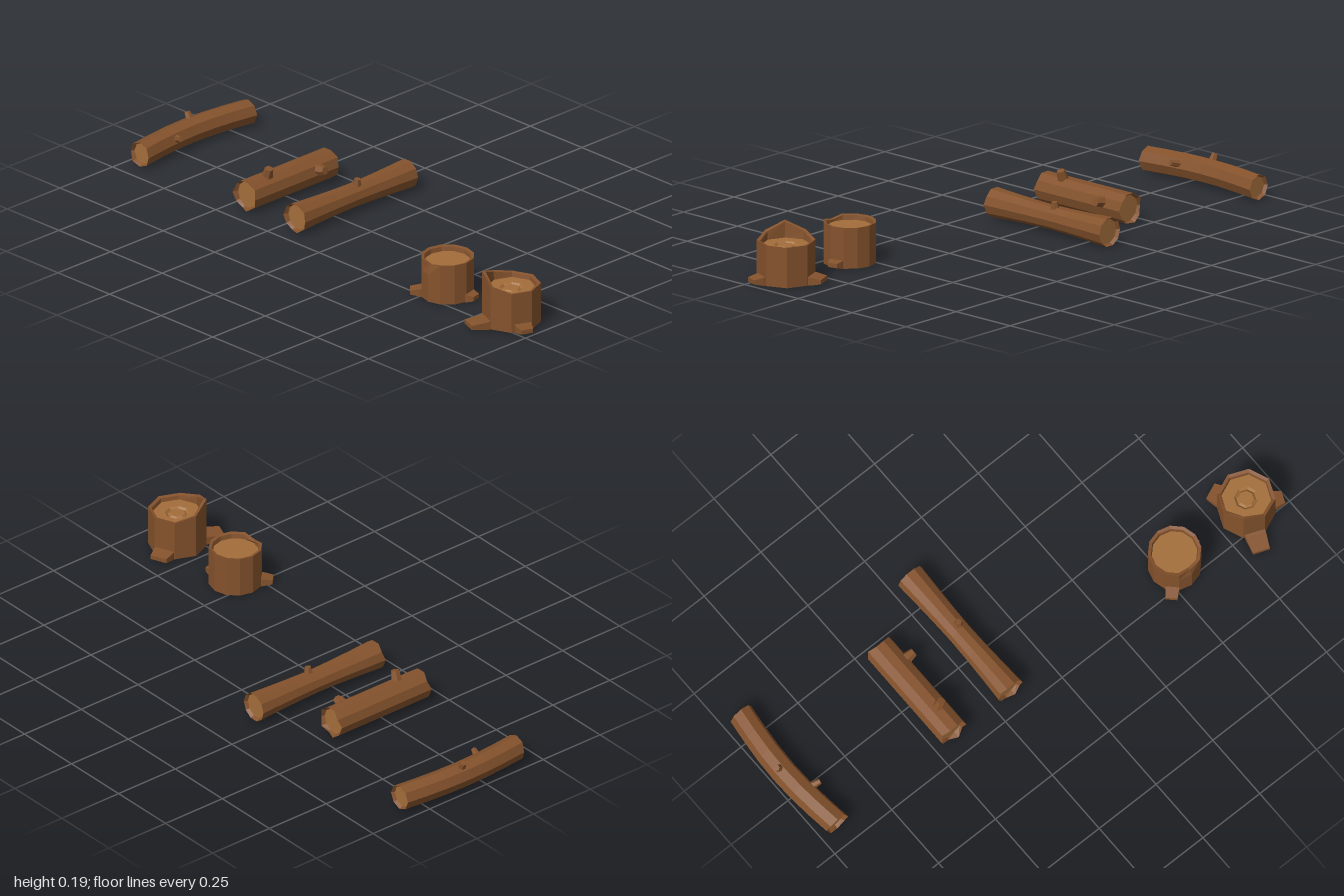
import * as THREE from 'three';

const bark = new THREE.MeshStandardMaterial({ color: 0x84522c, flatShading: true });
bark.name = 'bark';
const wood = new THREE.MeshStandardMaterial({ color: 0xa36e3a, flatShading: true });
wood.name = 'cutWood';

// Skin through rings of points; rings run counter-clockwise seen from the far end.
function loft(rings, capStart = false, capEnd = false) {
  const out = [];
  const tri = (...pts) => pts.forEach((p) => out.push(...p));
  const n = rings[0].length;
  for (let k = 0; k + 1 < rings.length; k++) {
    for (let i = 0; i < n; i++) {
      const j = (i + 1) % n;
      const [a, b, c, d] = [rings[k][i], rings[k][j], rings[k + 1][j], rings[k + 1][i]];
      tri(a, b, c);
      tri(a, c, d);
    }
  }
  const cap = (ring, flip) => {
    const mid = [0, 1, 2].map((q) => ring.reduce((s, p) => s + p[q], 0) / n);
    for (let i = 0; i < n; i++) {
      const j = (i + 1) % n;
      if (flip) tri(mid, ring[j], ring[i]);
      else tri(mid, ring[i], ring[j]);
    }
  };
  if (capStart) cap(rings[0], true);
  if (capEnd) cap(rings[rings.length - 1], false);
  const g = new THREE.BufferGeometry();
  g.setAttribute('position', new THREE.Float32BufferAttribute(out, 3));
  g.computeVertexNormals();
  return g;
}

function add(group, name, geometry, material) {
  const mesh = new THREE.Mesh(geometry, material);
  mesh.name = name;
  group.add(mesh);
  return mesh;
}

const circle = (n, f) => Array.from({ length: n }, (_, i) => f((i / n) * Math.PI * 2, i));
const ragged = (i) => Math.sin(i * 2.4 + 1) * 0.5 + Math.sin(i * 4.1) * 0.5;

// Log lying along z with sunken cut faces
function log(name, { z0, z1, sides, steps, centre, radius, ragBack = 0, ragFront = 0.006 }) {
  const group = new THREE.Group();
  group.name = name;
  const ring = (t, scale, dz, rag) => {
    const [x, y] = centre(t);
    const r = radius(t) * scale;
    return circle(sides, (a, i) => [
      x + Math.cos(a) * r, y + Math.sin(a) * r, z0 + (z1 - z0) * t + dz + ragged(i) * rag,
    ]);
  };
  const back = ring(0, 0.86, 0.012, 0);
  const front = ring(1, 0.86, -0.014, 0);
  const rings = [back];
  for (let k = 0; k <= steps; k++) {
    rings.push(ring(k / steps, 1, 0, k === 0 ? ragBack : k === steps ? ragFront : 0));
  }
  rings.push(front);
  add(group, 'logBark', loft(rings), bark);
  add(group, 'backCut', loft([back], true, false), wood);
  add(group, 'frontCut', loft([front], false, true), wood);
  return group;
}

// Broken branch stub from base to tip
function stub(group, base, tip, r0, r1) {
  const a = new THREE.Vector3(...base);
  const b = new THREE.Vector3(...tip);
  const dir = b.clone().sub(a);
  const mesh = add(group, 'branchStub', new THREE.CylinderGeometry(r1, r0, dir.length(), 6), bark);
  mesh.position.copy(a).add(b).multiplyScalar(0.5);
  mesh.quaternion.setFromUnitVectors(new THREE.Vector3(0, 1, 0), dir.normalize());
}

// Upright stump with a rim around a sunken cut face
function stump(name, { x, z, r, sides, rim, dent = () => 0, floor, roots, heart }) {
  const group = new THREE.Group();
  group.name = name;
  group.position.set(x, 0, z);
  const ring = (s, y, d = () => 0) => circle(sides, (a, i) => [
    Math.sin(a) * (r * s - d(i)), typeof y === 'number' ? y : y(i), Math.cos(a) * (r * s - d(i)),
  ]);
  const inner = ring(0.85, floor);
  add(group, 'stumpBark', loft([
    ring(1, 0), ring(1, 0.1), ring(1, rim, dent), ring(0.88, (i) => rim(i) - 0.003, dent), inner,
  ], true, false), bark);
  // Cut face, with a sunken heart if wanted
  const face = heart
    ? [inner, ring(0.42, floor), ring(0.34, floor - 0.008), ring(0.26, floor - 0.001)]
    : [inner];
  add(group, 'cutFace', loft(face, false, true), wood);
  // Flat roots, each reaching to a tip
  for (const [tx, tz, w0, w1] of roots) {
    const box = (w, y0, y1, d) => [[w, y0, d], [w, y1, d], [-w, y1, d], [-w, y0, d]];
    const len = Math.hypot(tx - x, tz - z);
    const root = add(group, 'root', loft([
      box(w0, 0, 0.032, r * 0.75), box(w0, 0, 0.028, r), box(w1, 0.007, 0.022, len),
    ], true, true), bark);
    root.rotation.y = Math.atan2(tx - x, tz - z);
  }
  return group;
}

export function createModel() {
  const model = new THREE.Group();
  model.name = 'logsAndStumps';

  const curved = log('curvedLog', {
    z0: -0.33, z1: 0.185, sides: 8, steps: 6, ragFront: 0.004,
    centre: (t) => [-0.935 - 0.022 * Math.sin(Math.PI * t), 0.046 + 0.003 * Math.sin(Math.PI * t)],
    radius: () => 0.045,
  });
  stub(curved, [-0.96, 0.07, -0.085], [-0.98, 0.108, -0.085], 0.017, 0.011);
  stub(curved, [-0.925, 0.06, 0.025], [-0.888, 0.071, 0.036], 0.015, 0.01);

  const straight = log('straightLog', {
    z0: -0.21, z1: 0.185, sides: 10, steps: 1, ragBack: 0.008, ragFront: 0.009,
    centre: () => [-0.425, 0.056], radius: () => 0.054,
  });
  stub(straight, [-0.39, 0.07, -0.12], [-0.347, 0.078, -0.12], 0.024, 0.015);
  stub(straight, [-0.417, 0.09, 0.09], [-0.402, 0.135, 0.092], 0.022, 0.015);

  const waisted = log('waistedLog', {
    z0: -0.345, z1: 0.19, sides: 10, steps: 6,
    centre: () => [-0.178, 0.0525],
    radius: (t) => 0.042 + 0.01 * Math.pow(Math.abs(2 * t - 1), 1.5),
  });
  stub(waisted, [-0.172, 0.08, -0.098], [-0.168, 0.112, -0.098], 0.018, 0.011);

  const round = stump('roundStump', {
    x: 0.552, z: 0.18, r: 0.092, sides: 12, floor: 0.125, heart: false,
    rim: (i) => (i === 0 ? 0.136 : 0.144), dent: (i) => (i === 0 ? 0.008 : 0),
    roots: [[0.665, 0.155, 0.026, 0.018], [0.463, 0.272, 0.024, 0.02]],
  });

  const splinter = { 0: 0.157, 7: 0.185, 6: 0.158 };
  const split = stump('splinteredStump', {
    x: 0.865, z: 0.183, r: 0.1, sides: 8, floor: 0.126, heart: true,
    rim: (i) => splinter[i] ?? 0.143,
    roots: [[0.812, 0.056, 0.036, 0.03], [0.808, 0.333, 0.036, 0.03], [0.989, 0.23, 0.03, 0.022]],
  });

  model.add(curved, straight, waisted, round, split);
  return model;
}
